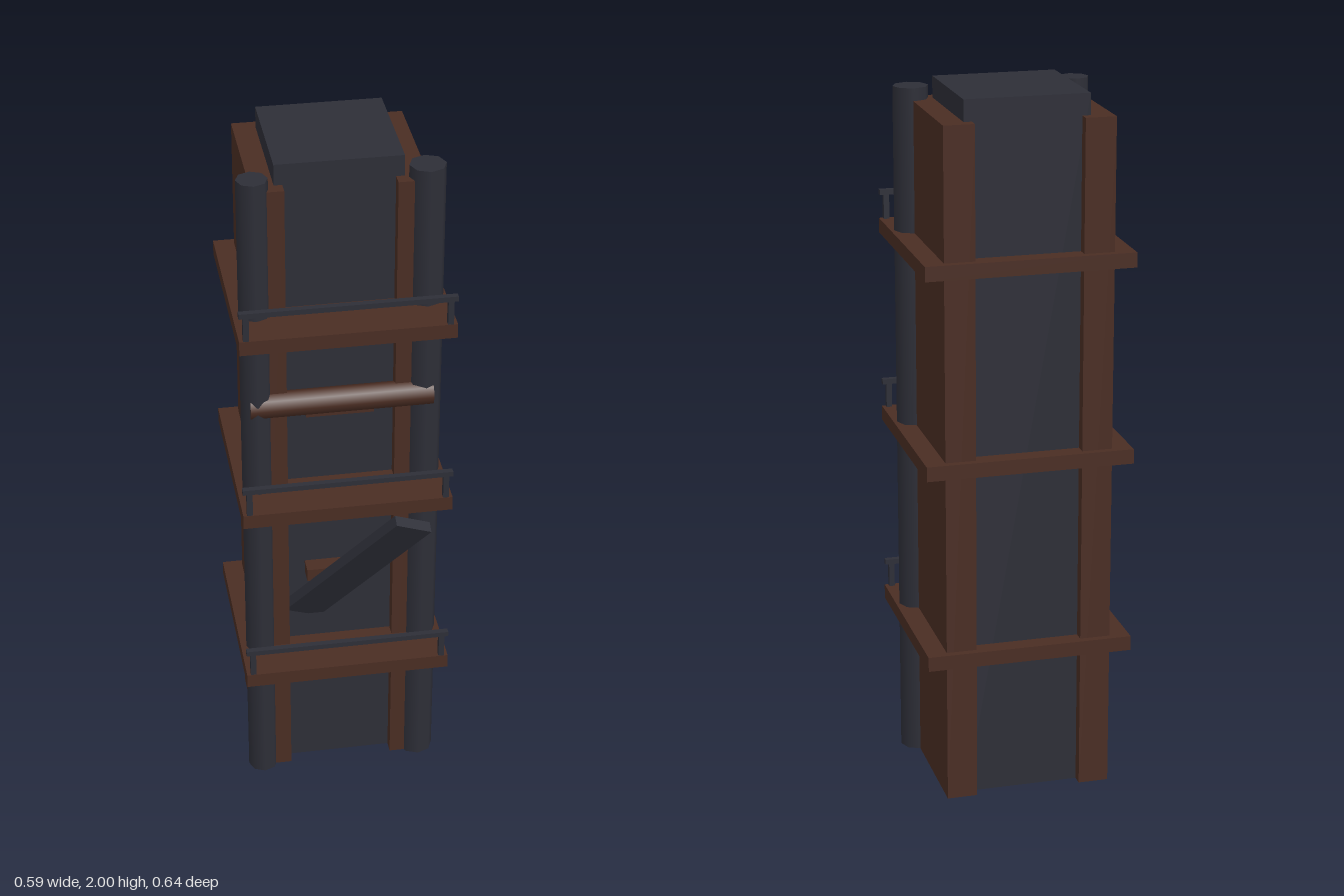
import * as THREE from 'three';

export function createModel() {
  const model = new THREE.Group();
  model.name = 'tower';

  const darkMetal = new THREE.MeshStandardMaterial({ name: 'dark metal', color: 0x2d2e37 });
  const rust = new THREE.MeshStandardMaterial({ name: 'rusty brown', color: 0x4a2d23 });

  function add(name, geometry, material, x, y, z, parent = model) {
    const mesh = new THREE.Mesh(geometry, material);
    mesh.name = name;
    mesh.position.set(x, y, z);
    parent.add(mesh);
    return mesh;
  }
  const box = (w, h, d) => new THREE.BoxGeometry(w, h, d);

  // Central shaft and the slabs cladding its two sides
  add('core', box(0.348, 2, 0.346), darkMetal, 0, 1, -0.1);
  for (const [name, side] of [['rightSlab', -1], ['leftSlab', 1]]) {
    add(name, box(0.086, 1.94, 0.413), rust, side * 0.194, 0.97, -0.098);
  }

  // Vertical pipes at the front corners
  add('rightPipe', new THREE.CylinderGeometry(0.043, 0.043, 1.975, 8), darkMetal, -0.235, 0.9875, 0.095);
  add('leftPipe', new THREE.CylinderGeometry(0.05, 0.05, 1.975, 8), darkMetal, 0.234, 0.9875, 0.082);

  // Platforms, each with a front railing on two posts
  for (const y of [0.429, 0.989, 1.549]) {
    const level = new THREE.Group();
    level.name = 'platformLevel';
    level.position.y = y;
    model.add(level);
    add('platform', box(0.588, 0.042, 0.56), rust, 0, 0, -0.045, level);
    add('railing', box(0.588, 0.015, 0.017), darkMetal, 0, 0.098, 0.226, level);
    for (const side of [-1, 1]) {
      add('railingPost', box(0.016, 0.08, 0.016), darkMetal, side * 0.275, 0.055, 0.226, level);
    }
  }

  // Horizontal pipe across the front
  const crossPipe = add('crossPipe', new THREE.CylinderGeometry(0.037, 0.037, 0.51, 8), rust, 0, 1.284, 0.105);
  crossPipe.rotation.z = Math.PI / 2;

  // Small brackets fixed to the shaft
  for (const y of [1.262, 0.702]) {
    add('bracket', box(0.19, 0.038, 0.06), rust, -0.005, y, 0.092);
  }

  // Loose panel leaning out from the shaft
  const panel = add('loosePanel', box(0.12, 0.56, 0.031), darkMetal, 0.032, 0.758, 0.178);
  panel.rotation.set(0.49, 0, -0.525);

  return model;
}
